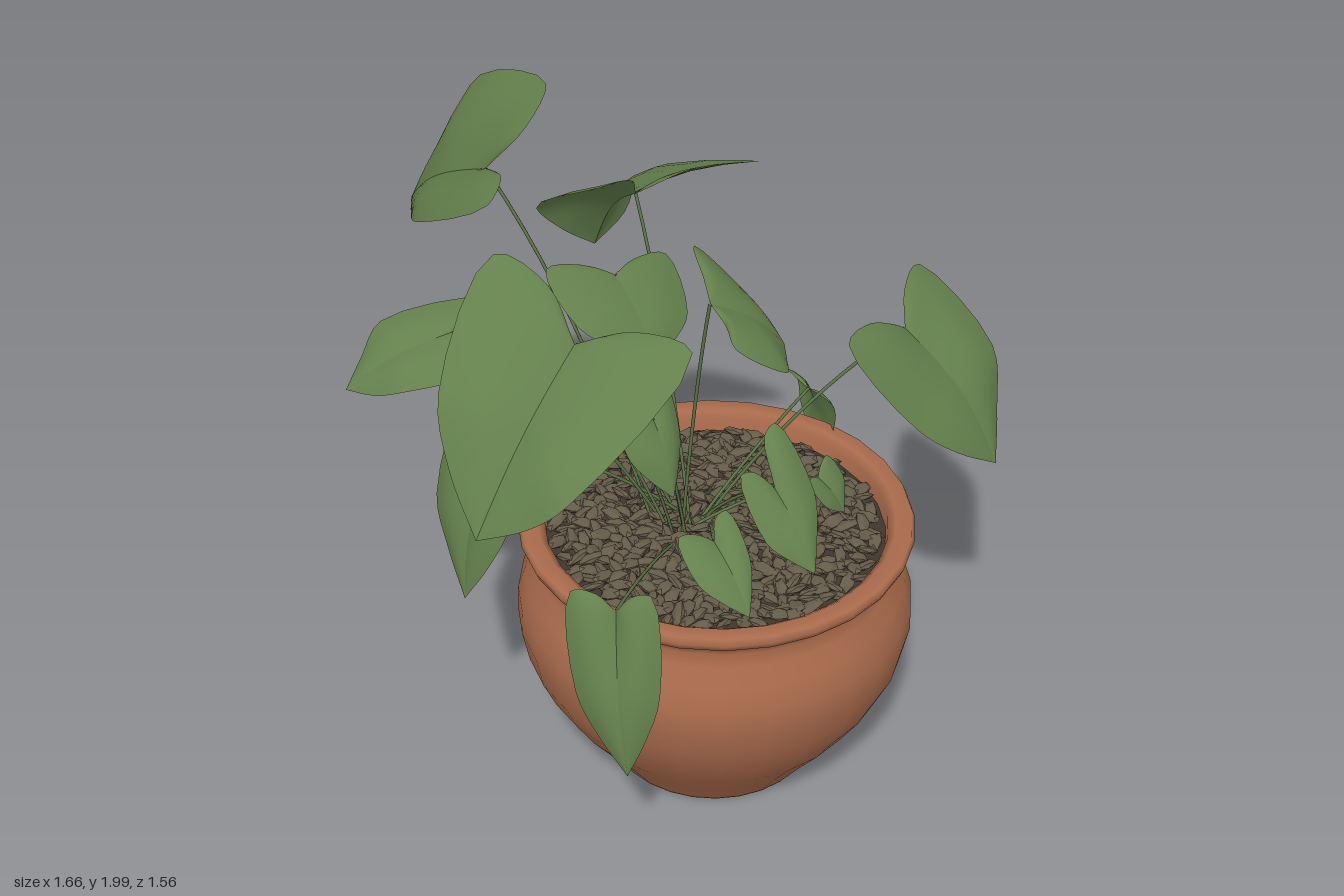
import * as THREE from 'three';
import { mergeGeometries } from 'three/addons/utils/BufferGeometryUtils.js';

const V = (a) => new THREE.Vector3(...a);
const CX = 0.11, CZ = 0.22; // pot axis

// Seeded random numbers
let seed = 7;
const rnd = () => (seed = (seed * 16807) % 2147483647) / 2147483647;

// Heart-shaped blade: each half spans from an arched midrib to a curved edge
function leafGeometry(base, tip, lobes, bellies) {
  const axis = tip.clone().sub(base), len = axis.length();
  const n = axis.clone().cross(lobes[1].clone().sub(lobes[0])).normalize();
  if (n.y < 0) n.negate();
  const T = 20, S = 4;
  const halves = lobes.map((lobe, side) => {
    const out = lobe.clone().sub(base);
    out.addScaledVector(axis, -out.dot(axis) / (len * len));
    const inner = lobe.clone().addScaledVector(out, -0.5).lerp(base, 0.12);
    const belly = bellies ? bellies[side]
      : lobe.clone().addScaledVector(axis, 0.6).addScaledVector(out, 0.05);
    const taper = belly.clone().lerp(tip, 0.55).addScaledVector(out, 0.1);
    const edge = new THREE.CatmullRomCurve3([base, inner, lobe, belly, taper, tip]);
    const pos = [], idx = [];
    for (let i = 0; i <= T; i++) {
      const t = i / T, e = edge.getPoint(t);
      const m = base.clone().addScaledVector(axis, t ** 2)
        .addScaledVector(n, 0.08 * len * Math.sin(Math.PI * t * t));
      for (let j = 0; j <= S; j++) {
        const s = j / S;
        const p = m.clone().lerp(e, s)
          .addScaledVector(n, 0.05 * len * Math.sin(Math.PI * s) * Math.sin(Math.PI * t));
        pos.push(p.x, p.y, p.z);
        if (i < T && j < S) {
          const a = i * (S + 1) + j, b = a + S + 1;
          idx.push(...(side ? [a, a + 1, b, b, a + 1, b + 1] : [a, b, a + 1, b, b + 1, a + 1]));
        }
      }
    }
    const g = new THREE.BufferGeometry();
    g.setAttribute('position', new THREE.Float32BufferAttribute(pos, 3));
    g.setIndex(idx);
    g.computeVertexNormals();
    return g;
  });
  return mergeGeometries(halves);
}

// Thin stalk from the soil to the notch of a leaf
function stemGeometry(base) {
  const start = new THREE.Vector3(0.05 + (rnd() - 0.5) * 0.12, 0.74, 0.14 + (rnd() - 0.5) * 0.12);
  const mid = start.clone().lerp(base, 0.45);
  mid.y = start.y + (base.y - start.y) * 0.66;
  return new THREE.TubeGeometry(new THREE.QuadraticBezierCurve3(start, mid, base), 12, 0.005, 5);
}

export function createModel() {
  const model = new THREE.Group();
  const mat = (name, color, side = THREE.FrontSide) => {
    const m = new THREE.MeshStandardMaterial({ color, side });
    m.name = name;
    return m;
  };
  const terracotta = mat('terracotta', 0xaa6b4c);
  const pebble = mat('pebble brown', 0x655b4a);
  const earth = mat('dark earth', 0x3f372d);
  const leafGreen = mat('leaf green', 0x64804c, THREE.DoubleSide);
  const stemGreen = mat('stem green', 0x5c7546);
  const add = (name, geo, material, parent = model) => {
    const m = new THREE.Mesh(geo, material);
    m.name = name;
    parent.add(m);
    return m;
  };

  // Rounded pot with flared rim and slightly hollow foot
  const profile = [
    [0, 0.015], [0.296, 0.01], [0.3, 0], [0.303, 0.005], [0.37, 0.1], [0.445, 0.2], [0.5, 0.29],
    [0.54, 0.38], [0.56, 0.48], [0.557, 0.55], [0.535, 0.62], [0.505, 0.67], [0.497, 0.71],
    [0.505, 0.74], [0.545, 0.765], [0.553, 0.785], [0.545, 0.802], [0.5, 0.802], [0.478, 0.785], [0.47, 0.7],
  ].map((p) => new THREE.Vector2(...p));
  add('pot', new THREE.LatheGeometry(profile, 28), terracotta).position.set(CX, 0, CZ);

  // Soil disc covered by tumbled pebbles
  add('soil', new THREE.CylinderGeometry(0.475, 0.475, 0.03, 28), earth).position.set(CX, 0.73, CZ);
  const stones = [];
  const COUNT = 480;
  for (let i = 0; i < COUNT; i++) {
    const r = 0.45 * Math.sqrt((i + 0.5) / COUNT), a = i * 2.39996;
    const g = new THREE.IcosahedronGeometry(1, 0);
    g.scale(0.032 + rnd() * 0.014, 0.012, 0.017 + rnd() * 0.006);
    g.rotateX((rnd() - 0.5) * 1.4);
    g.rotateZ((rnd() - 0.5) * 0.8);
    g.rotateY(rnd() * Math.PI);
    g.translate(CX + r * Math.cos(a), 0.753 + rnd() * 0.018, CZ + r * Math.sin(a));
    stones.push(g);
  }
  add('pebbles', mergeGeometries(stones), pebble);

  // Leaves: notch, tip, backs of the two lobes, and optionally the widest edge points
  const plant = new THREE.Group();
  plant.name = 'plant';
  model.add(plant);
  const leaf = (name, notch, tip, lobeA, lobeB, bellyA, bellyB) => {
    const base = V(notch);
    const bellies = bellyA && [V(bellyA), V(bellyB)];
    add(name + 'Leaf', leafGeometry(base, V(tip), [V(lobeA), V(lobeB)], bellies), leafGreen, plant);
    add(name + 'Stem', stemGeometry(base), stemGreen, plant);
  };
  leaf('topBack', [-0.2, 1.75, -0.38], [-0.17, 1.47, -0.78], [-0.35, 1.79, -0.17], [-0.06, 1.99, -0.29],
    [-0.36, 1.6, -0.48], [-0.06, 1.9, -0.58]);
  leaf('largeBack', [0.11, 1.67, -0.13], [0.2, 1.34, -0.42], [-0.1, 1.81, -0.03], [0.31, 1.81, 0.13],
    [-0.02, 1.55, -0.4], [0.32, 1.55, -0.36]);
  leaf('lowerBack', [-0.17, 1.36, -0.3], [-0.17, 1.0, -0.64], [-0.28, 1.38, -0.24], [-0.05, 1.38, -0.26]);
  leaf('largeRight', [-0.42, 1.62, 0.27], [-0.81, 1.25, 0.36], [-0.25, 1.65, 0.52], [-0.46, 1.77, 0],
    [-0.67, 1.4, 0.55], [-0.74, 1.54, 0.13]);
  leaf('backRight', [-0.36, 1.55, -0.12], [-0.64, 1.27, -0.37], [-0.5, 1.54, -0.02], [-0.22, 1.45, -0.2],
    [-0.64, 1.44, -0.2], [-0.4, 1.32, -0.38]);
  leaf('farRight', [-0.58, 1.57, -0.03], [-0.83, 1.44, -0.15], [-0.57, 1.53, 0.11], [-0.46, 1.61, -0.06],
    [-0.76, 1.48, 0], [-0.68, 1.56, -0.2]);
  leaf('hangingRight', [-0.43, 1.14, -0.05], [-0.6, 0.73, 0], [-0.4, 1.2, -0.23], [-0.41, 1.27, 0.1],
    [-0.53, 0.93, -0.21], [-0.52, 1.02, 0.12]);
  leaf('droopingRight', [-0.48, 0.94, 0.5], [-0.55, 0.5, 0.63], [-0.42, 1.0, 0.57], [-0.55, 0.98, 0.4]);
  leaf('largeLeft', [0.56, 1.35, 0.46], [0.67, 1.0, 0.73], [0.3, 1.43, 0.51], [0.76, 1.4, 0.31],
    [0.43, 1.18, 0.65], [0.83, 1.22, 0.54]);
  leaf('droopingLeft', [0.61, 0.91, 0.05], [0.72, 0.67, -0.06], [0.6, 0.94, -0.04], [0.61, 0.9, 0.16],
    [0.68, 0.85, -0.07], [0.64, 0.76, 0.12]);
  leaf('upperMiddle', [-0.12, 1.6, 0.06], [-0.17, 1.46, 0.28], [-0.29, 1.65, -0.01], [0.08, 1.57, 0.03],
    [-0.32, 1.57, 0.16], [0.02, 1.49, 0.19]);
  leaf('upperFront', [0, 1.58, 0.3], [0.21, 1.4, 0.36], [-0.04, 1.53, 0.45], [0.1, 1.63, 0.12],
    [0.08, 1.44, 0.51], [0.19, 1.5, 0.23]);
  leaf('smallMiddle', [-0.14, 1.25, 0.24], [-0.15, 1.05, 0.34], [-0.23, 1.3, 0.2], [-0.06, 1.3, 0.2]);
  leaf('lowFront', [0.13, 1.0, 0.43], [0.13, 0.81, 0.6], [0.21, 1.13, 0.34], [0.05, 1.05, 0.38],
    [0.24, 0.96, 0.47], [0.04, 0.9, 0.5]);
  leaf('smallFront', [-0.13, 0.98, 0.48], [-0.16, 0.85, 0.66], [-0.22, 1.01, 0.44], [-0.06, 1.03, 0.45]);
  leaf('smallLeft', [0.31, 0.94, 0.41], [0.36, 0.83, 0.47], [0.25, 0.96, 0.44], [0.37, 0.97, 0.38]);
  return model;
}
